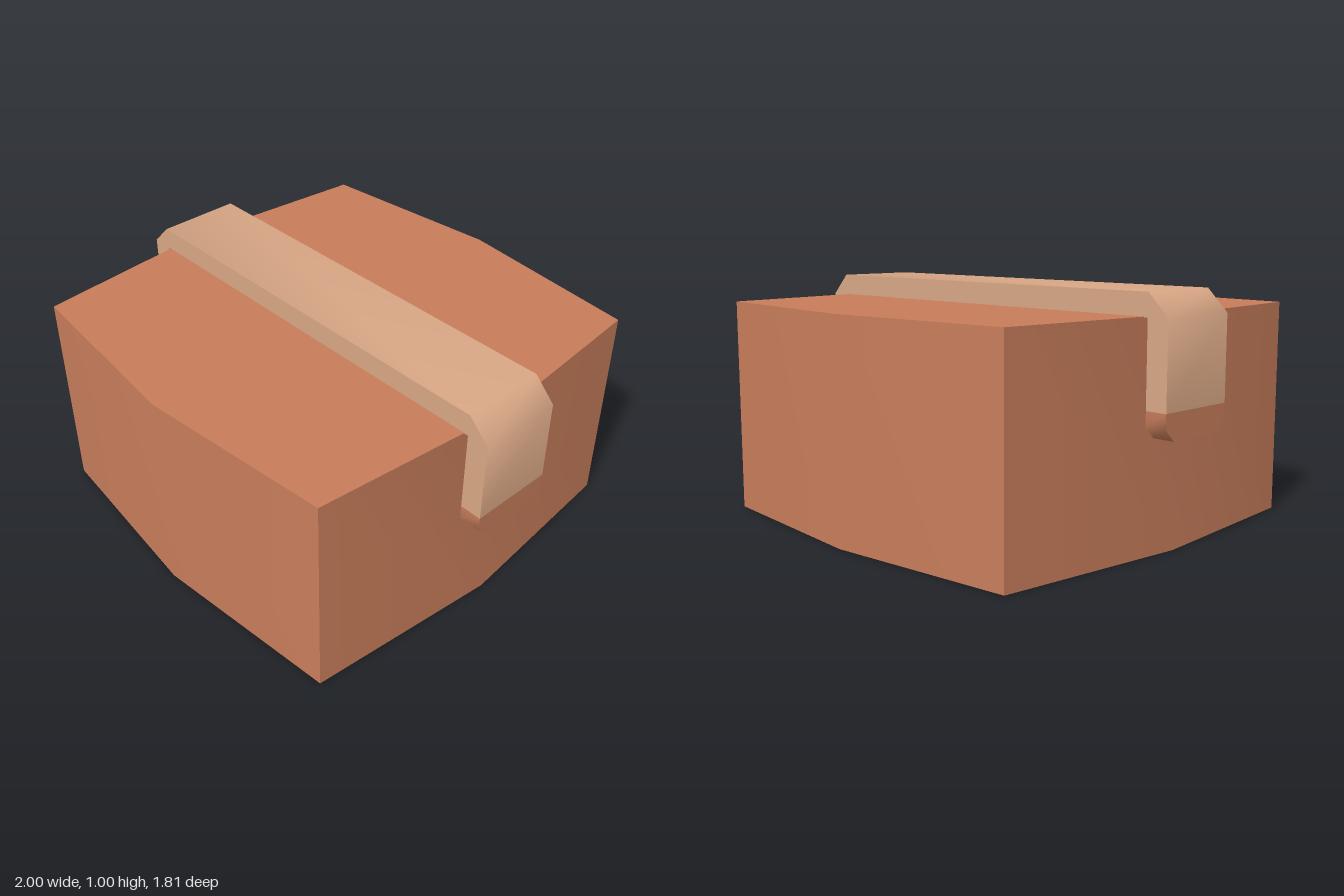
import * as THREE from 'three';
import { toCreasedNormals } from 'three/addons/utils/BufferGeometryUtils.js';

const clay = new THREE.MeshStandardMaterial({ color: 0xc87d5b });
clay.name = 'clay brown';
const tan = new THREE.MeshStandardMaterial({ color: 0xdaa886 });
tan.name = 'light tan';

// Extrudes an outline along +z, smoothing bevels but keeping square edges sharp
function extrude(points, depth) {
  const shape = new THREE.Shape(points.map(([x, y]) => new THREE.Vector2(x, y)));
  return toCreasedNormals(new THREE.ExtrudeGeometry(shape, { depth, bevelEnabled: false }), 0.9);
}

function addPart(group, name, geometry, material) {
  const mesh = new THREE.Mesh(geometry, material);
  mesh.name = name;
  group.add(mesh);
}

export function createModel() {
  const model = new THREE.Group();
  model.name = 'strappedBlock';

  const mid = 0.907, corner = 0.826; // body plan bulges at the middle of each side
  const height = 0.909;
  const halfWidth = 0.182;           // strap half width
  const split = 0.565;               // where the strap changes colour
  const bottom = 0.457, cut = 0.048; // strap end and its corner cut

  // Block with slightly bulging sides
  const plan = [
    [mid, 0], [corner, corner], [0, mid], [-corner, corner],
    [-mid, 0], [-corner, -corner], [0, -mid], [corner, -corner],
  ];
  addPart(model, 'body', extrude(plan, height).rotateX(-Math.PI / 2), clay);

  // Strap over the top and down both sides
  const bridge = [
    [1, split], [1, height], [0.909, 1], [-0.909, 1], [-1, height], [-1, split],
    [-mid, split], [-mid, height - 0.002], [mid, height - 0.002], [mid, split],
  ];
  addPart(model, 'strap', extrude(bridge, halfWidth * 2).translate(0, 0, -halfWidth), tan);

  // Strap tips with cut corners
  const tip = [
    [-halfWidth, split], [-halfWidth, bottom + cut], [-halfWidth + cut, bottom],
    [halfWidth - cut, bottom], [halfWidth, bottom + cut], [halfWidth, split],
  ];
  for (const side of [1, -1]) {
    const geometry = extrude(tip, 1 - mid).translate(0, 0, mid).rotateY(side * Math.PI / 2);
    addPart(model, side > 0 ? 'leftStrapTip' : 'rightStrapTip', geometry, clay);
  }
  return model;
}
